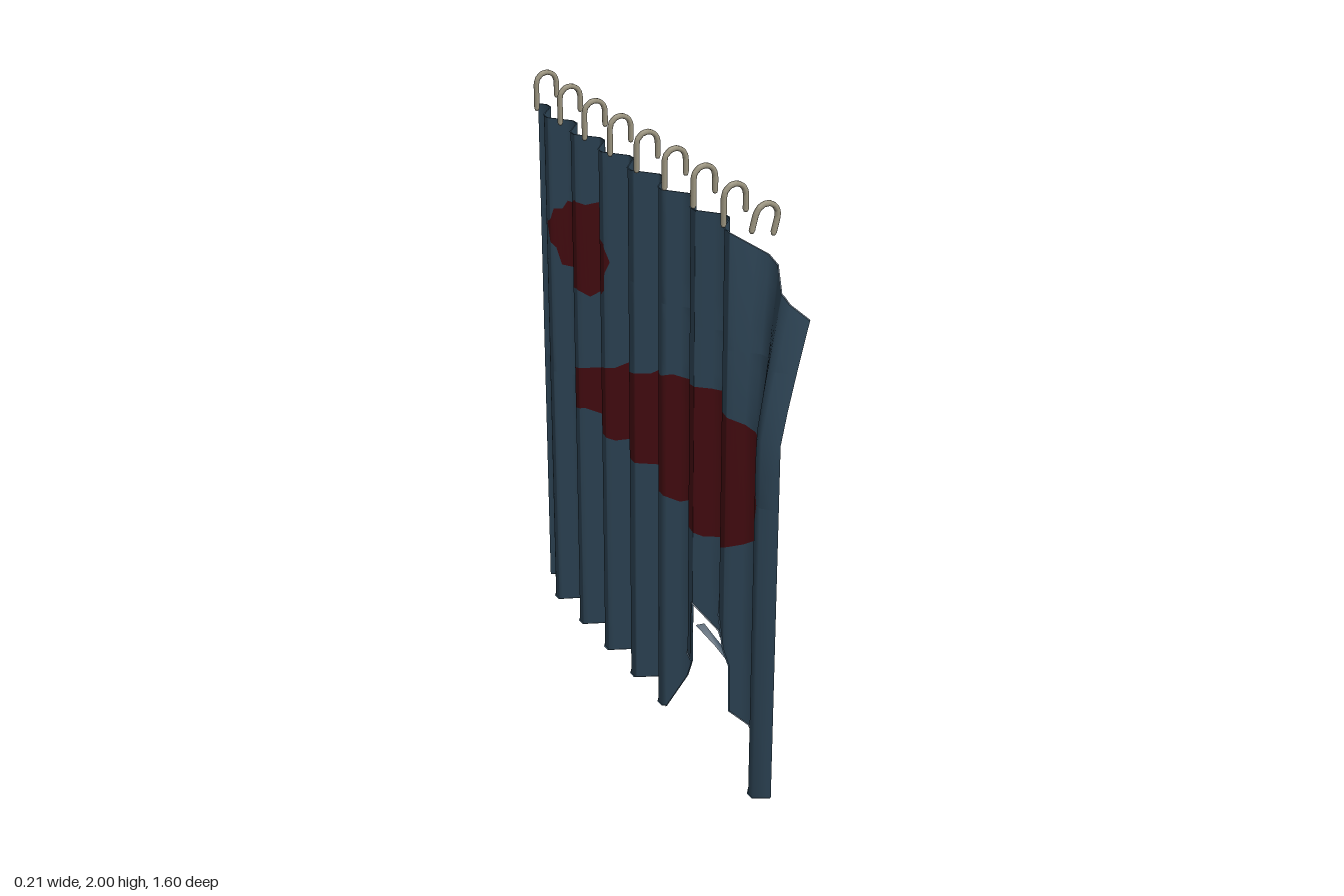
import * as THREE from 'three';

const cloth = new THREE.MeshStandardMaterial({ color: 0x30485a, side: THREE.DoubleSide });
const stain = new THREE.MeshStandardMaterial({ color: 0x490d12, side: THREE.DoubleSide });
const metal = new THREE.MeshStandardMaterial({ color: 0x9c9580 });

const PLEAT = 0.2;
const THICKNESS = 0.005;
const clamp01 = t => Math.min(1, Math.max(0, t));

// piecewise linear lookup in a list of [z, y] sorted by z, held constant past the ends
function lookup(points, z) {
  if (z <= points[0][0]) return points[0][1];
  for (let i = 1; i < points.length; i++) {
    const [z0, y0] = points[i - 1], [z1, y1] = points[i];
    if (z <= z1) return y0 + (y1 - y0) * (z - z0) / (z1 - z0);
  }
  return points[points.length - 1][1];
}

// outlines as [z, y]: long smear, small splash, torn hole in the hem, sagging top edge
const smearTop = [[-0.56, 0.93], [-0.55, 0.96], [-0.52, 1.0], [-0.46, 1.02], [-0.38, 1.04], [-0.34, 1.05],
  [-0.3, 1.09], [-0.22, 1.11], [-0.18, 1.14], [-0.1, 1.155], [0, 1.175], [0.03, 1.2], [0.07, 1.245],
  [0.14, 1.235], [0.18, 1.25], [0.26, 1.235], [0.3, 1.28], [0.4, 1.287], [0.5, 1.28], [0.6, 1.25],
  [0.68, 1.19], [0.72, 1.13], [0.735, 1.05]];
const smearLow = [[-0.56, 0.93], [-0.555, 0.9], [-0.53, 0.87], [-0.48, 0.86], [-0.43, 0.875], [-0.36, 0.86],
  [-0.3, 0.855], [-0.22, 0.84], [-0.17, 0.86], [-0.1, 0.85], [-0.04, 0.84], [0.02, 0.85], [0.07, 0.805],
  [0.14, 0.815], [0.2, 0.8], [0.26, 0.83], [0.3, 0.785], [0.38, 0.765], [0.5, 0.79], [0.6, 0.84],
  [0.68, 0.9], [0.72, 0.96], [0.735, 1.05]];
const splashTop = [[-0.67, 1.485], [-0.645, 1.5], [-0.635, 1.54], [-0.61, 1.545], [-0.595, 1.575], [-0.56, 1.565],
  [-0.53, 1.605], [-0.49, 1.595], [-0.46, 1.63], [-0.42, 1.62], [-0.375, 1.64], [-0.355, 1.61],
  [-0.32, 1.605], [-0.29, 1.56], [-0.25, 1.545], [-0.23, 1.485]];
const splashLow = [[-0.67, 1.485], [-0.65, 1.42], [-0.63, 1.4], [-0.615, 1.34], [-0.56, 1.335], [-0.51, 1.305],
  [-0.45, 1.315], [-0.41, 1.295], [-0.36, 1.34], [-0.29, 1.345], [-0.25, 1.38], [-0.245, 1.445], [-0.23, 1.485]];
const tear = [[0.166, 0], [0.256, 0.22], [0.258, 0.345], [0.351, 0.29], [0.353, 0.515], [0.44, 0.41],
  [0.5, 0.65], [0.571, 0.39], [0.573, 0.22], [0.67, 0.15], [0.69, 0.02]];
const topEdge = [[0.55, 1.86], [0.8, 1.65]];

// pleats: flat crests and troughs joined by slanted sides
function pleat(z) {
  const t = Math.abs(((z + 0.76) / PLEAT % 1 + 1.5) % 1 - 0.5) * 2;
  return -0.022 - 0.06 * clamp01((t - 0.15) / 0.7);
}

function hem(z) {
  if (z >= 0.166 && z <= 0.69) return lookup(tear, z);
  return 0.025 * (pleat(z) + 0.082) / 0.06;
}

// the unhooked corner falls towards +x
function clothX(y, z) {
  const rise = clamp01((y - 1.27) / (lookup(topEdge, z) - 1.27));
  return pleat(z) + 0.088 * clamp01((z - 0.55) / 0.2) * Math.pow(rise, 1.1);
}

// cloth and stains share one grid, so the pleats shade evenly across their borders
function addCurtain(group) {
  const zs = [-0.8, 0.8, 0.165, 0.691];
  for (const list of [smearTop, smearLow, splashTop, splashLow, tear, topEdge]) zs.push(...list.map(p => p[0]));
  for (let k = 0; k < 9; k++) {
    for (const f of [-0.425, -0.25, -0.075, 0.075, 0.25, 0.425]) zs.push(-0.76 + (k + f) * PLEAT);
  }
  const columns = [...new Set(zs.map(z => +z.toFixed(3)))].filter(z => z >= -0.8 && z <= 0.8).sort((a, b) => a - b);

  const bands = [2, 1, 4, 1, 4];
  const rows = bands.reduce((a, b) => a + b) + 1;
  const positions = [], clothIndex = [], stainIndex = [];
  for (const z of columns) {
    const levels = [hem(z), lookup(smearLow, z), lookup(smearTop, z), lookup(splashLow, z),
      lookup(splashTop, z), lookup(topEdge, z)];
    positions.push(clothX(levels[0], z), levels[0], z);
    bands.forEach((n, b) => {
      for (let j = 1; j <= n; j++) {
        const y = levels[b] + (levels[b + 1] - levels[b]) * j / n;
        positions.push(clothX(y, z), y, z);
      }
    });
  }
  for (let c = 0; c + 1 < columns.length; c++) {
    let r = 0;
    bands.forEach((n, b) => {
      const index = b % 2 ? stainIndex : clothIndex;
      for (let j = 0; j < n; j++, r++) {
        const a = c * rows + r, d = a + rows;
        // skip triangles where a stain has closed to a line
        if (positions[a * 3 + 4] - positions[a * 3 + 1] > 1e-6) index.push(a, a + 1, d);
        if (positions[d * 3 + 4] - positions[d * 3 + 1] > 1e-6) index.push(a + 1, d + 1, d);
      }
    });
  }
  const whole = new THREE.BufferGeometry();
  whole.setAttribute('position', new THREE.Float32BufferAttribute(positions, 3));
  whole.setIndex([...clothIndex, ...stainIndex]);
  whole.computeVertexNormals();
  // points lying on a closed stain take the normal of their neighbour below
  const normal = whole.attributes.normal;
  for (let i = 1; i < normal.count; i++) {
    if (Math.hypot(normal.getX(i), normal.getY(i), normal.getZ(i)) < 0.5) {
      normal.setXYZ(i, normal.getX(i - 1), normal.getY(i - 1), normal.getZ(i - 1));
    }
  }
  for (const [name, index, material] of [['curtain', clothIndex, cloth], ['stains', stainIndex, stain]]) {
    const geometry = new THREE.BufferGeometry();
    geometry.setAttribute('position', whole.attributes.position);
    geometry.setAttribute('normal', normal);
    geometry.setIndex(index);
    const mesh = new THREE.Mesh(geometry, material);
    mesh.name = name;
    group.add(mesh);
  }
  // narrow strips that give the top and bottom edges their thickness
  for (const [name, row] of [['hemEdge', 0], ['topEdge', rows - 1]]) {
    const pairs = columns.map((z, c) => {
      const [x, y] = positions.slice((c * rows + row) * 3);
      return [x, y, z, x - THICKNESS, y, z];
    });
    addRibbon(group, name, pairs);
  }
}

// open band through pairs of edge points
function addRibbon(group, name, pairs) {
  const geometry = new THREE.BufferGeometry();
  geometry.setAttribute('position', new THREE.Float32BufferAttribute(pairs.flat(), 3));
  const index = [];
  for (let i = 0; i < pairs.length - 1; i++) index.push(2 * i, 2 * i + 2, 2 * i + 1, 2 * i + 1, 2 * i + 2, 2 * i + 3);
  geometry.setIndex(index);
  geometry.computeVertexNormals();
  const mesh = new THREE.Mesh(geometry, cloth);
  mesh.name = name;
  group.add(mesh);
}

// hook bent from wire, its origin at the top of the bend
function makeHook(name, backLeg) {
  const R = 0.037;
  const points = [new THREE.Vector3(-R, -backLeg, 0)];
  for (let i = 0; i <= 6; i++) {
    const a = Math.PI * (1 - i / 6);
    points.push(new THREE.Vector3(R * Math.cos(a), R * Math.sin(a) - R, 0));
  }
  points.push(new THREE.Vector3(R, -0.085, 0));
  const path = new THREE.CurvePath();
  for (let i = 1; i < points.length; i++) path.add(new THREE.LineCurve3(points[i - 1], points[i]));
  const hook = new THREE.Group();
  hook.name = name;
  hook.add(new THREE.Mesh(new THREE.TubeGeometry(path, 24, 0.009, 6), metal));
  // rounded leg ends
  for (const p of [points[0], points[points.length - 1]]) {
    const tip = new THREE.Mesh(new THREE.SphereGeometry(0.009, 6, 4), metal);
    tip.position.copy(p);
    hook.add(tip);
  }
  return hook;
}

function addHooks(group) {
  for (let i = 0; i < 8; i++) {
    const hook = makeHook('hook' + (i + 1), 0.12);
    hook.position.set(-0.048, 1.99, -0.722 + i * 0.178);
    group.add(hook);
  }
  // the last one has come off the cloth and tilts
  const loose = makeHook('looseHook', 0.085);
  loose.position.set(-0.042, 1.988, 0.705);
  loose.rotation.z = -0.25;
  group.add(loose);
}

export function createModel() {
  const group = new THREE.Group();
  group.name = 'tornCurtain';
  addCurtain(group);
  // loose shred hanging from the tear
  addRibbon(group, 'hangingShred', [
    [-0.05, 0.4, 0.32, -0.02, 0.4, 0.325],
    [-0.022, 0.355, 0.4, -0.012, 0.375, 0.387],
    [0.072, 0.2, 0.45, 0.092, 0.215, 0.437],
    [0.076, 0.13, 0.458, 0.098, 0.13, 0.45],
  ]);
  addHooks(group);
  return group;
}
